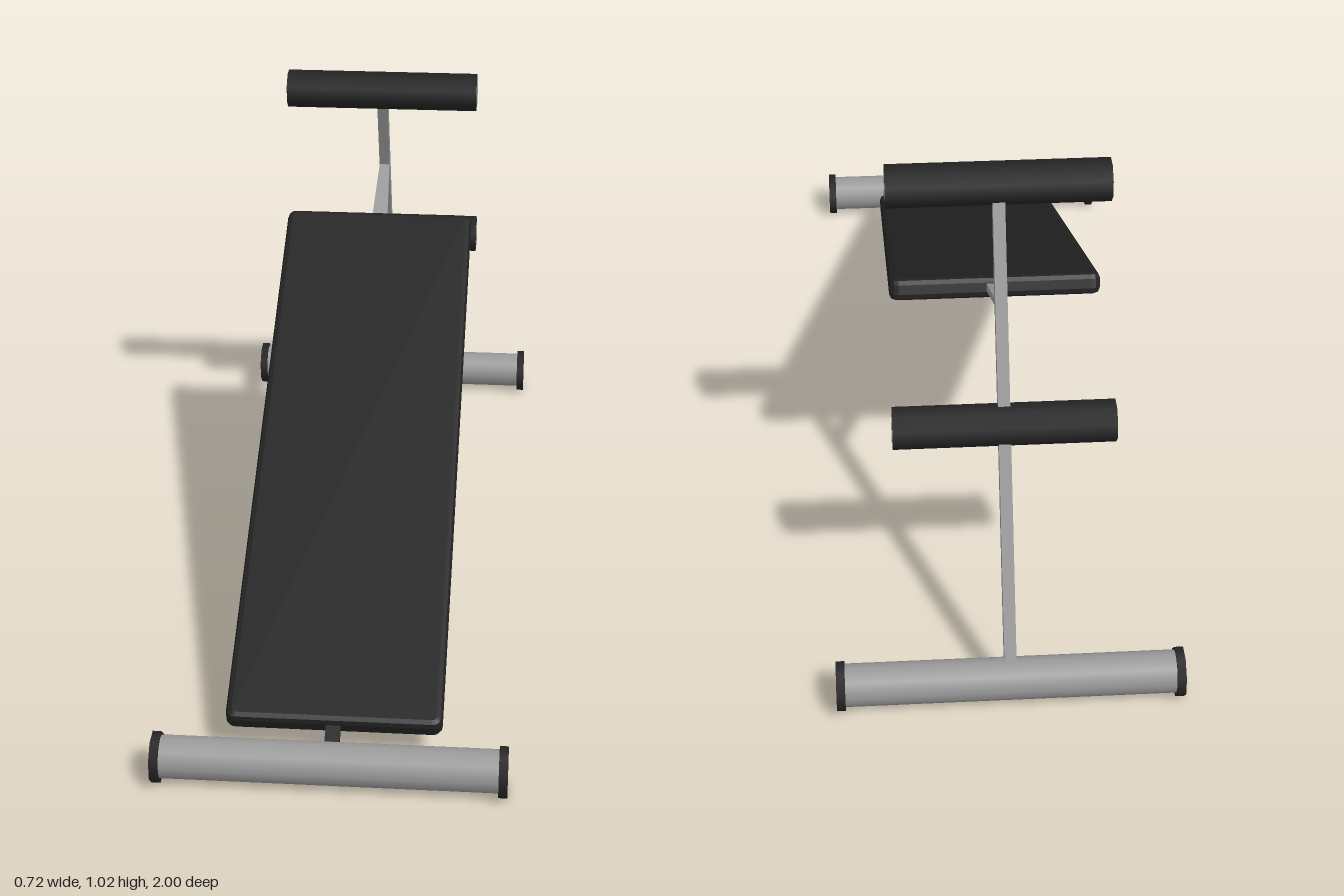
import * as THREE from 'three';

const TILT = THREE.MathUtils.degToRad(25);

export function createModel() {
  const model = new THREE.Group();
  model.name = 'sitUpBench';

  const black = new THREE.MeshStandardMaterial({ color: 0x222222 });
  black.name = 'black vinyl';
  const grey = new THREE.MeshStandardMaterial({ color: 0x999999 });
  grey.name = 'grey steel';

  const add = (parent, name, geometry, material, x = 0, y = 0, z = 0) => {
    const mesh = new THREE.Mesh(geometry, material);
    mesh.name = name;
    mesh.position.set(x, y, z);
    parent.add(mesh);
    return mesh;
  };

  // Cylinder lying along x, its facets turned with the tilted frame
  const bar = (radius, length, sides) =>
    new THREE.CylinderGeometry(radius, radius, length, sides)
      .rotateZ(Math.PI / 2).rotateX(TILT);

  // Floor tubes with end caps
  for (const [name, z] of [['frontFoot', 0.95], ['rearFoot', -0.95]]) {
    const foot = new THREE.Group();
    foot.name = name;
    foot.position.set(0, 0.051, z);
    model.add(foot);
    add(foot, 'footTube', bar(0.044, 0.69, 16), grey, 0, 0.002);
    for (const s of [-1, 1]) add(foot, 'footCap', bar(0.053, 0.018, 8), black, s * 0.349);
  }

  // Leaning post from the rear foot to the upper roller
  const post = add(model, 'post', new THREE.BoxGeometry(0.025, 1.03, 0.03), grey, 0, 0.519, -0.732);
  post.rotation.x = TILT;

  // Foam leg rollers with steel ends
  for (const [name, y, z] of [['upperRoller', 0.984, -0.516], ['lowerRoller', 0.538, -0.725]]) {
    const roller = new THREE.Group();
    roller.name = name;
    roller.position.set(0, y, z);
    model.add(roller);
    add(roller, 'foam', bar(0.0445, 0.454, 8), black);
    for (const s of [-1, 1]) add(roller, 'rollerEnd', bar(0.03, 0.003, 8), grey, s * 0.227);
  }

  // Inclined bench, built flat along z and then tilted
  const bench = new THREE.Group();
  bench.name = 'bench';
  bench.position.set(0, 0.38, 0.205);
  bench.rotation.x = TILT;
  model.add(bench);

  // Padded board with rounded corners and edges
  const bevel = 0.013, w = 0.222 - bevel, h = 0.718 - bevel, r = 0.008;
  const outline = new THREE.Shape();
  outline.moveTo(-w + r, -h);
  outline.lineTo(w - r, -h);
  outline.quadraticCurveTo(w, -h, w, -h + r);
  outline.lineTo(w, h - r);
  outline.quadraticCurveTo(w, h, w - r, h);
  outline.lineTo(-w + r, h);
  outline.quadraticCurveTo(-w, h, -w, h - r);
  outline.lineTo(-w, -h + r);
  outline.quadraticCurveTo(-w, -h, -w + r, -h);
  const core = 0.046 - 2 * bevel;
  const padGeometry = new THREE.ExtrudeGeometry(outline, {
    depth: core, bevelEnabled: true, bevelSize: bevel, bevelThickness: bevel,
    bevelSegments: 2, curveSegments: 3,
  }).translate(0, 0, -core / 2).rotateX(-Math.PI / 2);
  add(bench, 'pad', padGeometry, black);

  // Tapered bracket joining the pad to the post
  const taper = new THREE.Shape([
    new THREE.Vector2(-0.022, 0.6), new THREE.Vector2(0.022, 0.6),
    new THREE.Vector2(0.012, 0.9), new THREE.Vector2(-0.012, 0.9),
  ]);
  const bracketGeometry = new THREE.ExtrudeGeometry(taper, { depth: 0.016, bevelEnabled: false })
    .translate(0, 0, -0.008).rotateX(-Math.PI / 2);
  add(bench, 'rearBracket', bracketGeometry, grey);

  // Short tab joining the pad to the front foot
  add(bench, 'frontTab', new THREE.BoxGeometry(0.03, 0.016, 0.14), black, 0, 0, 0.745);

  return model;
}
